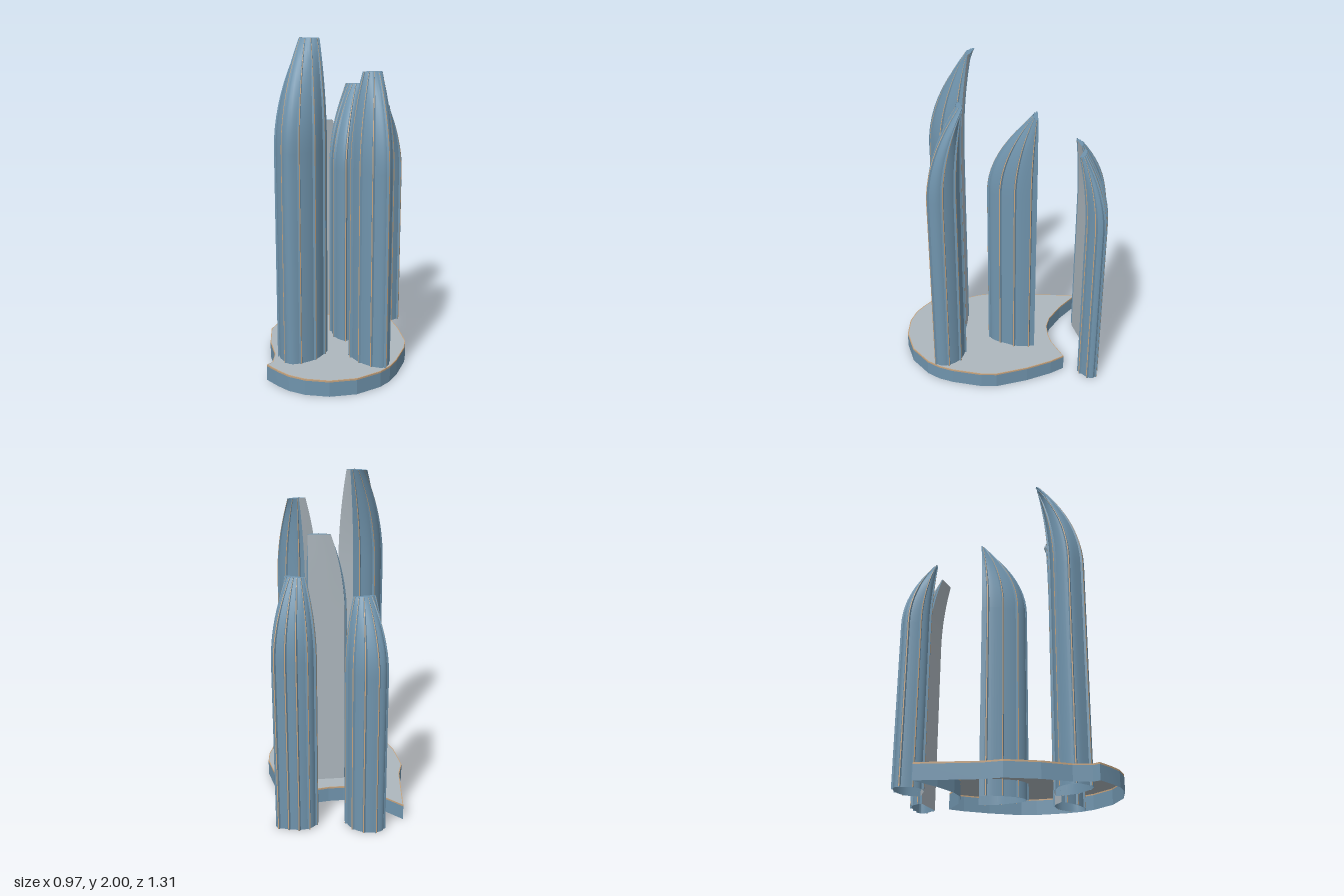
import * as THREE from 'three';
import { toCreasedNormals } from 'three/addons/utils/BufferGeometryUtils.js';

const mat = (name, color) => {
  const m = new THREE.MeshStandardMaterial({ color, side: THREE.DoubleSide });
  m.name = name;
  return m;
};
const V = (p, y) => new THREE.Vector3(p[0], y, p[1]);
const mix = (a, b, t) => [a[0] + (b[0] - a[0]) * t, a[1] + (b[1] - a[1]) * t];

// Skin between neighbouring columns of points
function skin(name, columns, material, crease = 0.5) {
  const pos = [];
  for (let j = 0; j + 1 < columns.length; j++) {
    const a = columns[j], b = columns[j + 1];
    for (let k = 0; k + 1 < a.length; k++) {
      for (const v of [a[k], b[k + 1], b[k], a[k], a[k + 1], b[k + 1]]) pos.push(v.x, v.y, v.z);
    }
  }
  const g = new THREE.BufferGeometry();
  g.setAttribute('position', new THREE.Float32BufferAttribute(pos, 3));
  const mesh = new THREE.Mesh(toCreasedNormals(g, crease), material);
  mesh.name = name;
  return mesh;
}

// Smooth plan outline: gives a point on it, moved along it and outward from it
function tracer(points) {
  const path = new THREE.CatmullRomCurve3(points.map(p => V(p, 0)), false, 'centripetal');
  return (s, along = 0, out = 0) => {
    const p = path.getPointAt(s), d = path.getTangentAt(s);
    return [p.x + d.x * along + d.z * out, p.z + d.z * along - d.x * out];
  };
}

// foot and tip = plan of the ribbed side at ground and top, clockwise from above;
// the flat face joins the last point back to the first
function makeTower(name, height, bend, foot, tip, { blue, grey, tan }) {
  const group = new THREE.Group();
  group.name = name;
  // vertical column: straight up to the bend, then sweeping to the tip
  const column = (base, top) => {
    const pts = [V(base, 0)];
    for (let k = 0; k <= 10; k++) {
      const s = k / 10;
      pts.push(V(mix(base, top, s * s), bend + (height - bend) * s));
    }
    return pts;
  };
  const footAt = tracer(foot), tipAt = tracer(tip);

  // curved wall and flat face
  const N = 40, wall = [], face = [];
  for (let j = 0; j <= N; j++) wall.push(column(footAt(j / N), tipAt(j / N)));
  group.add(skin('curvedWall', wall, blue));
  for (let j = 0; j <= 4; j++) face.push(column(mix(footAt(1), footAt(0), j / 4), mix(tipAt(1), tipAt(0), j / 4)));
  group.add(skin('flatFace', face, grey));

  // tip cap
  const centre = V([0, 1].map(i => tip.reduce((sum, p) => sum + p[i], 0) / tip.length), height);
  group.add(skin('tipCap', [...wall, wall[0]].map(c => [c[c.length - 1], centre]), blue));

  // slim ribs with a narrow trim along the outer edge
  const ribs = 7;
  for (let i = 0; i < ribs; i++) {
    const s = 0.06 + 0.88 * i / (ribs - 1);
    const line = (along, out) => column(footAt(s, along, out), tipAt(s, along * 0.4, out * 0.4));
    const [b0, e0, e1, b1] = [line(-0.009, 0), line(-0.003, 0.011), line(0.003, 0.011), line(0.009, 0)];
    group.add(skin('ribSide', [b0, e0], blue), skin('ribEdge', [e0, e1], tan), skin('ribSide', [e1, b1], blue));
  }
  return group;
}

// Hollow plate: top sheet, side wall, and trim round the top edge
function makePlate({ blue, grey, tan }) {
  const plate = new THREE.Group();
  plate.name = 'basePlate';
  const outline = [
    [-0.487, -0.405], [-0.324, -0.322], [-0.18, -0.274], [-0.09, -0.27], [0, -0.298], [0.07, -0.333],
    [0.193, -0.435], [0.262, -0.364], [0.36, -0.23], [0.46, -0.052], [0.48, 0.04], [0.483, 0.225],
    [0.47, 0.32], [0.438, 0.405], [0.338, 0.537], [0.2, 0.62], [0.06, 0.648], [-0.047, 0.638],
    [-0.127, 0.607], [-0.224, 0.558], [-0.206, 0.516], [-0.237, 0.412], [-0.335, 0.263],
    [-0.414, 0.076], [-0.414, -0.045],
  ];
  const shape = new THREE.Shape(outline.map(([x, z]) => new THREE.Vector2(x, -z)));
  const top = new THREE.Mesh(new THREE.ShapeGeometry(shape).rotateX(-Math.PI / 2).translate(0, 0.098, 0), grey);
  top.name = 'plateTop';
  const loop = [...outline, outline[0]];
  const band = (name, y0, y1, m) => skin(name, loop.map(p => [V(p, y0), V(p, y1)]), m, 0.1);
  const lip = loop.map(p => [V(p, 0.1), V(mix(p, [0.05, 0.1], 0.012), 0.1)]);
  plate.add(top, band('plateWall', 0, 0.09, blue), band('plateTrim', 0.09, 0.1, tan), skin('plateTrimLip', lip, tan));
  return plate;
}

export function createModel() {
  const mats = {
    blue: mat('glass blue', 0x7094ad),
    grey: mat('pale grey', 0xadb7be),
    tan: mat('tan trim', 0xc4a37f),
  };
  const model = new THREE.Group();
  model.name = 'towerCluster';
  model.add(makePlate(mats));

  model.add(makeTower('tallTower', 2, 1.38,
    [[0.048, 0.255], [0.025, 0.38], [-0.03, 0.457], [-0.095, 0.5], [-0.155, 0.47], [-0.2, 0.42], [-0.155, 0.32], [-0.045, 0.268]],
    [[-0.01, 0.217], [-0.07, 0.242], [-0.137, 0.215], [-0.035, 0.209]], mats));
  model.add(makeTower('sideTower', 1.82, 1.27,
    [[0.255, 0.205], [0.32, 0.196], [0.39, 0.215], [0.455, 0.29], [0.44, 0.35], [0.38, 0.36], [0.28, 0.33], [0.186, 0.26]],
    [[0.28, 0.183], [0.345, 0.156], [0.3, 0.203], [0.245, 0.207]], mats));
  model.add(makeTower('middleTower', 1.7, 1.2,
    [[0.13, -0.228], [0.158, -0.12], [0.15, -0.05], [0.12, 0.06], [0.085, 0.076], [0.02, 0.045], [-0.06, -0.09], [-0.075, -0.163]],
    [[0.13, -0.225], [0.115, -0.2], [0.04, -0.183], [0, -0.195]], mats));
  model.add(makeTower('backRightTower', 1.42, 1.0,
    [[-0.265, -0.42], [-0.33, -0.43], [-0.385, -0.54], [-0.34, -0.575], [-0.27, -0.585], [-0.2, -0.56], [-0.14, -0.49]],
    [[-0.26, -0.4], [-0.29, -0.39], [-0.24, -0.438], [-0.175, -0.44]], mats));
  model.add(makeTower('backLeftTower', 1.53, 1.07,
    [[0.01, -0.54], [0.035, -0.6], [0.09, -0.635], [0.175, -0.645], [0.245, -0.64], [0.25, -0.61], [0.2, -0.528]],
    [[0.08, -0.49], [0.1, -0.505], [0.19, -0.495], [0.2, -0.475]], mats));
  return model;
}
